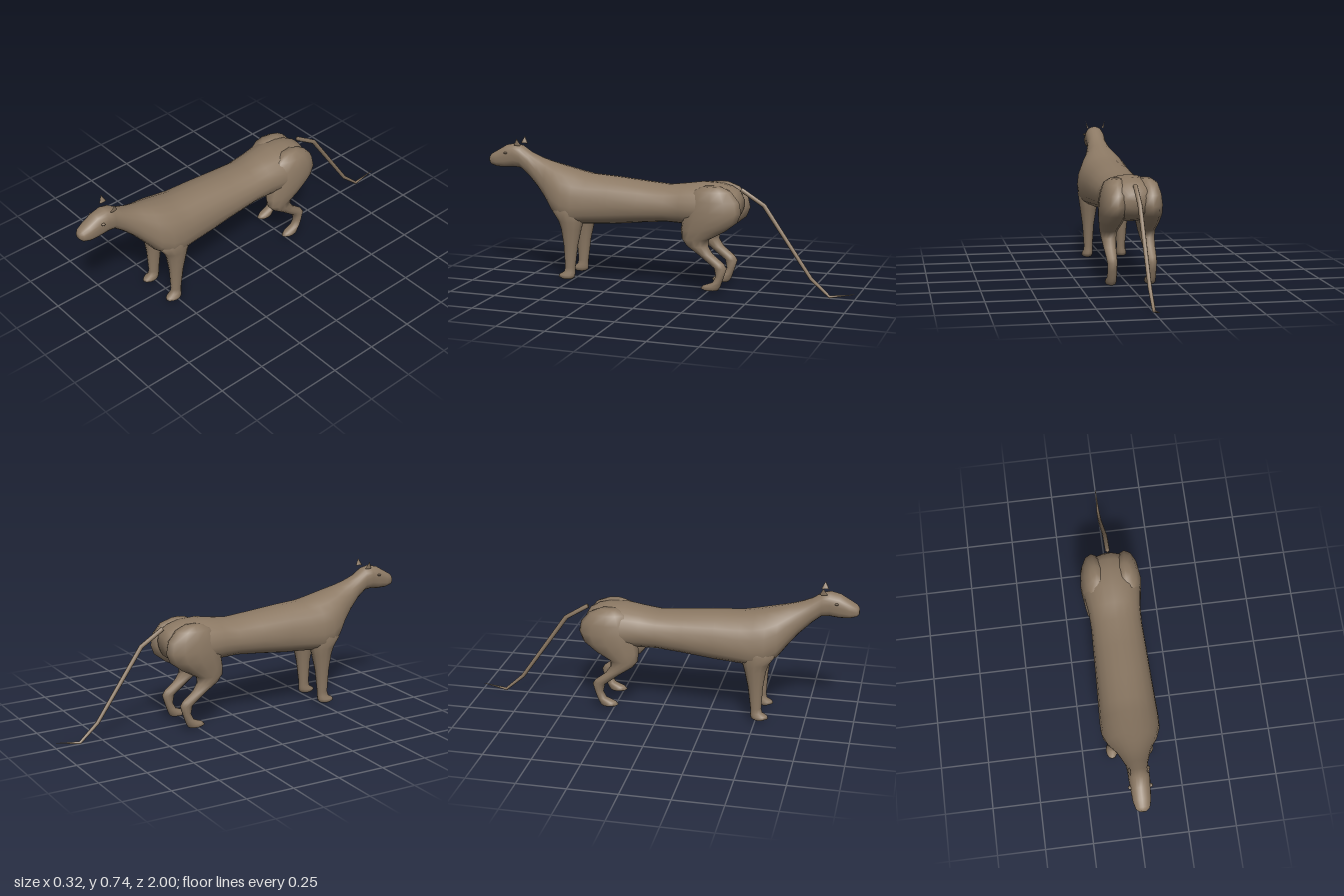
import * as THREE from 'three';

const fur = new THREE.MeshStandardMaterial({ color: 0x8c7964 });
fur.name = 'brown fur';

// Skin a closed surface over a list of rings (each an array of Vector3).
function loft(name, rings) {
  const n = rings[0].length, pos = [], idx = [];
  for (const ring of rings) for (const p of ring) pos.push(p.x, p.y, p.z);
  for (let i = 0; i < rings.length - 1; i++) {
    for (let j = 0; j < n; j++) {
      const k = (j + 1) % n, a = i * n + j, b = i * n + k;
      idx.push(a, a + n, b, b, a + n, b + n);
    }
  }
  const last = (rings.length - 1) * n, c0 = rings.length * n, c1 = c0 + 1;
  for (const ring of [rings[0], rings[rings.length - 1]]) {
    const c = ring.reduce((s, p) => s.add(p), new THREE.Vector3()).divideScalar(n);
    pos.push(c.x, c.y, c.z);
  }
  for (let j = 0; j < n; j++) {
    const k = (j + 1) % n;
    idx.push(c0, j, k, c1, last + k, last + j);
  }
  const g = new THREE.BufferGeometry();
  g.setAttribute('position', new THREE.Float32BufferAttribute(pos, 3));
  g.setIndex(idx);
  g.computeVertexNormals();
  const mesh = new THREE.Mesh(g, fur);
  mesh.name = name;
  return mesh;
}

const soft = (v, p) => Math.sign(v) * Math.pow(Math.abs(v), p);

// Upright ring: widest at height mid, squarer below than above.
function bodyRing([z, top, bottom, w, mid, square]) {
  return Array.from({ length: 20 }, (_, j) => {
    const t = (j / 20) * Math.PI * 2, s = Math.sin(t), c = Math.cos(t);
    const p = s < 0 ? square : 0.95;
    return new THREE.Vector3(w * soft(c, p), mid + (s > 0 ? top - mid : mid - bottom) * soft(s, p), z);
  });
}

// Level ring for legs, from front z to back z.
function legRing(side, [y, front, back, x, r]) {
  return Array.from({ length: 12 }, (_, j) => {
    const t = (j / 12) * Math.PI * 2;
    return new THREE.Vector3(side * x + r * Math.cos(t), y,
      (front + back) / 2 - ((front - back) / 2) * Math.sin(t));
  });
}

// z, top, bottom, half width, height of widest point, squareness below
const bodySections = [
  [0.998, 0.635, 0.605, 0.018, 0.62, 0.8],
  [0.985, 0.652, 0.592, 0.034, 0.622, 0.75],
  [0.95, 0.672, 0.583, 0.044, 0.63, 0.7],
  [0.9, 0.701, 0.582, 0.048, 0.645, 0.7],
  [0.85, 0.712, 0.587, 0.052, 0.655, 0.75],
  [0.81, 0.703, 0.582, 0.052, 0.645, 0.8],
  [0.76, 0.67, 0.54, 0.054, 0.605, 0.85],
  [0.7, 0.645, 0.48, 0.074, 0.55, 0.85],
  [0.65, 0.63, 0.42, 0.094, 0.5, 0.8],
  [0.6, 0.617, 0.355, 0.125, 0.45, 0.75],
  [0.54, 0.602, 0.318, 0.147, 0.42, 0.7],
  [0.48, 0.588, 0.308, 0.15, 0.41, 0.7],
  [0.41, 0.574, 0.311, 0.147, 0.415, 0.75],
  [0.28, 0.566, 0.318, 0.142, 0.425, 0.8],
  [0.12, 0.552, 0.336, 0.137, 0.43, 0.85],
  [-0.02, 0.541, 0.35, 0.132, 0.435, 0.85],
  [-0.11, 0.553, 0.347, 0.135, 0.44, 0.85],
  [-0.2, 0.567, 0.34, 0.148, 0.44, 0.9],
  [-0.29, 0.564, 0.342, 0.145, 0.445, 0.9],
  [-0.35, 0.55, 0.36, 0.12, 0.45, 0.9],
  [-0.39, 0.53, 0.385, 0.085, 0.455, 0.9],
  [-0.41, 0.495, 0.42, 0.045, 0.46, 0.9],
];

// y, front z, back z, centre x, half width
const frontLegSections = [
  [0.46, 0.57, 0.43, 0.085, 0.05],
  [0.38, 0.6, 0.415, 0.09, 0.059],
  [0.33, 0.565, 0.425, 0.091, 0.052],
  [0.29, 0.55, 0.437, 0.092, 0.046],
  [0.2, 0.537, 0.458, 0.093, 0.032],
  [0.08, 0.531, 0.474, 0.092, 0.024],
  [0.055, 0.538, 0.475, 0.093, 0.026],
  [0.04, 0.564, 0.475, 0.095, 0.03],
  [0.028, 0.568, 0.478, 0.096, 0.03],
  [0.019, 0.55, 0.49, 0.096, 0.022],
];
const hindLegSections = [
  [0.557, -0.23, -0.32, 0.075, 0.03],
  [0.535, -0.18, -0.375, 0.083, 0.053],
  [0.485, -0.145, -0.418, 0.086, 0.066],
  [0.43, -0.125, -0.43, 0.088, 0.071],
  [0.38, -0.118, -0.41, 0.09, 0.069],
  [0.33, -0.113, -0.345, 0.094, 0.058],
  [0.285, -0.118, -0.265, 0.097, 0.046],
  [0.25, -0.145, -0.262, 0.099, 0.039],
  [0.21, -0.205, -0.287, 0.1, 0.033],
  [0.165, -0.262, -0.345, 0.1, 0.028],
  [0.142, -0.293, -0.36, 0.1, 0.026],
  [0.1, -0.303, -0.347, 0.1, 0.024],
  [0.065, -0.286, -0.335, 0.1, 0.025],
  [0.045, -0.235, -0.328, 0.1, 0.028],
  [0.031, -0.222, -0.32, 0.1, 0.028],
  [0.023, -0.235, -0.312, 0.1, 0.022],
];

// y, z, radius along the tail
const tailPoints = [
  [0.535, -0.405, 0.012],
  [0.46, -0.525, 0.012],
  [0.1, -0.775, 0.01],
  [0.014, -0.872, 0.008],
  [0.036, -1.0, 0.001],
];

function tailRings() {
  return tailPoints.map(([y, z, r], i) => {
    const a = tailPoints[Math.max(i - 1, 0)], b = tailPoints[Math.min(i + 1, tailPoints.length - 1)];
    const along = new THREE.Vector2(b[0] - a[0], b[1] - a[1]).normalize();
    return Array.from({ length: 8 }, (_, j) => {
      const t = (j / 8) * Math.PI * 2, s = r * Math.sin(t);
      return new THREE.Vector3(r * Math.cos(t), y - along.y * s, z + along.x * s);
    });
  });
}

export function createModel() {
  const model = new THREE.Group();
  model.name = 'longTailedAnimal';
  model.add(loft('body', bodySections.map(bodyRing)));
  model.add(loft('tail', tailRings()));

  for (const side of [1, -1]) {
    const label = side > 0 ? 'left' : 'right';
    model.add(loft(label + 'FrontLeg', frontLegSections.map((s) => legRing(side, s))));
    model.add(loft(label + 'HindLeg', hindLegSections.map((s) => legRing(side, s))));

    // Small pointed ear, thin and leaning outwards
    const ear = new THREE.Mesh(new THREE.ConeGeometry(0.02, 0.04, 6), fur);
    ear.name = label + 'Ear';
    ear.scale.x = 0.25;
    ear.position.set(side * 0.049, 0.726, 0.818);
    ear.rotation.z = -side * 0.28;
    model.add(ear);

    // Low eye bump
    const eye = new THREE.Mesh(new THREE.SphereGeometry(0.009, 10, 6), fur);
    eye.name = label + 'Eye';
    eye.scale.set(1, 0.6, 1.1);
    eye.position.set(side * 0.051, 0.664, 0.886);
    model.add(eye);
  }
  return model;
}
